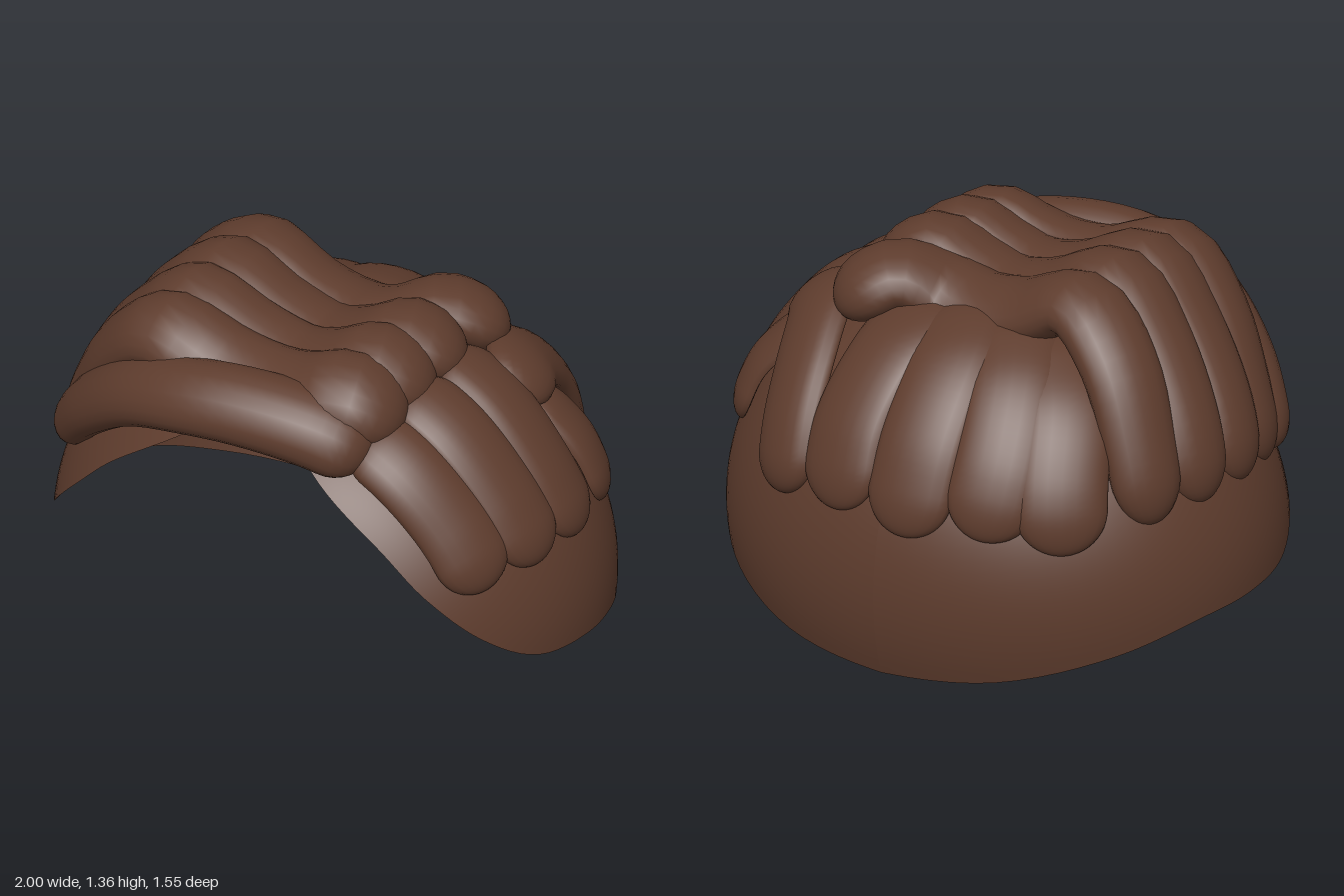
import * as THREE from 'three';

const V = (x, y, z) => new THREE.Vector3(x, y, z);
const CENTRE = V(0, 0.3, 0.08);   // middle of the skull ellipsoid
const RADII = V(1, 0.88, 0.85);

const hair = new THREE.MeshStandardMaterial({ color: 0x5e3c2d });
hair.name = 'brown hair';
hair.side = THREE.DoubleSide;

// indexed grid of rows x cols points, optionally closed across the columns
function gridGeometry(rows, cols, closed, pointAt) {
  const pos = [], idx = [];
  for (let i = 0; i < rows; i++) for (let j = 0; j < cols; j++) pos.push(...pointAt(i, j).toArray());
  for (let i = 0; i < rows - 1; i++) {
    for (let j = 0; j < (closed ? cols : cols - 1); j++) {
      const k = (j + 1) % cols;
      const a = i * cols + j, b = a + cols, c = i * cols + k, d = c + cols;
      idx.push(a, b, c, c, b, d);
    }
  }
  const g = new THREE.BufferGeometry();
  g.setAttribute('position', new THREE.Float32BufferAttribute(pos, 3));
  g.setIndex(idx);
  g.computeVertexNormals();
  return g;
}

// moves a point onto the skull, raised by a fraction of its radius
function onSkull([x, y, z], lift) {
  const d = V(x, y, z).sub(CENTRE).divide(RADII).normalize();
  return d.multiplyScalar(1 + lift).multiply(RADII).add(CENTRE);
}

// end shapes: size of the section at s (0..1) on a lock of this length and half width
const roundEnds = (s, length, w) => {
  const d = Math.min(1, Math.min(s, 1 - s) * length / w);
  return Math.max(0.01, Math.sqrt(1 - (1 - d) ** 2));
};
const taperedEnds = (s, length, w) => roundEnds(s, length, w) * (1 - 0.28 * s * s);
const pointedEnd = s => Math.max(0.01, s < 0.7 ? 0.8 + 0.3 * s : 1.01 * Math.pow((1 - s) / 0.3, 0.85));

// a lock of hair: flattened tube of half width w and half thickness t, lying on the skull;
// under is the share of the thickness kept on the side facing the skull
function lock(name, points, w, t, { profile = roundEnds, under = 1, normal = null } = {}) {
  const curve = new THREE.CatmullRomCurve3(points, false, 'centripetal');
  const length = curve.getLength(), rows = 41, cols = 20;
  const rings = Array.from({ length: rows }, (_, i) => {
    const s = (1 - Math.cos(Math.PI * i / (rows - 1))) / 2;
    const c = curve.getPointAt(s), T = curve.getTangentAt(s);
    const N = normal ? normal.clone() : c.clone().sub(CENTRE).divide(RADII).divide(RADII);
    N.addScaledVector(T, -N.dot(T)).normalize();
    return { c, N, B: T.clone().cross(N), r: profile(s, length, w) };
  });
  const g = gridGeometry(rows, cols, true, (i, j) => {
    const a = j / cols * Math.PI * 2, { c, N, B, r } = rings[i];
    const h = Math.sin(a) * t * r;
    return c.clone().addScaledVector(B, Math.cos(a) * w * r).addScaledVector(N, h < 0 ? h * under : h);
  });
  const mesh = new THREE.Mesh(g, hair);
  mesh.name = name;
  return mesh;
}

// skull cap: ellipsoid cut along a hairline given as azimuth from the front and height
function makeCap() {
  const hairline = new THREE.SplineCurve([
    [0, 1.04], [13, 1.01], [25, 0.9], [38, 0.75], [48, 0.58], [60, 0.41], [74, 0.29],
    [92, 0.255], [110, 0.225], [130, 0.135], [155, 0.035], [180, 0],
  ].map(p => new THREE.Vector2(...p)));
  const half = 64, rows = 40;
  const edge = Array.from({ length: half + 1 }, (_, k) => hairline.getPoint(k / half));
  const g = gridGeometry(rows, half * 2 + 1, false, (i, j) => {
    const e = edge[Math.abs(j - half)];
    const az = THREE.MathUtils.degToRad(e.x) * Math.sign(j - half);
    const th = Math.acos((e.y - CENTRE.y) / RADII.y) * Math.max(i, 0.01) / (rows - 1);
    return V(Math.sin(th) * Math.sin(az), Math.cos(th), Math.sin(th) * Math.cos(az)).multiply(RADII).add(CENTRE);
  });
  const mesh = new THREE.Mesh(g, hair);
  mesh.name = 'skullCap';
  return mesh;
}

export function createModel() {
  const model = new THREE.Group();
  model.name = 'hair';
  model.add(makeCap());

  // swept top: locks running from the parting on the left, over the dip, down the right side
  const swept = new THREE.Group();
  swept.name = 'sweptTop';
  [ // z at: parting end, parting crest, dip, right crest, right tip; height offset
    [-0.3, -0.17, -0.1, -0.12, -0.33, -0.01],
    [-0.03, 0.08, 0.1, 0.1, -0.1, 0.01],
    [0.17, 0.28, 0.3, 0.31, 0.11, 0],
    [0.35, 0.46, 0.48, 0.49, 0.31, -0.03],
  ].forEach(([zp, zr, zd, zc, zt, dy]) => swept.add(lock('sweptLock', [
    V(0.45, 1.1 + dy, zp), V(0.29, 1.215 + dy, zr), V(0.14, 1.16 + dy / 2, zd), V(0, 1.125, zd),
    V(-0.18, 1.16 + dy / 2, zd), V(-0.42, 1.255 + dy, zc), V(-0.62, 1.11 + dy, zc * 0.65 + zt * 0.35),
    onSkull([-0.79, 0.86, zc * 0.25 + zt * 0.75], 0.045), onSkull([-0.9, 0.62, zt], -0.015),
  ], 0.165, 0.105, { profile: taperedEnds })));
  swept.add(lock('frontFringe', [
    V(0.42, 1.01, 0.51), V(0.25, 1.09, 0.58), V(0, 1.125, 0.635), V(-0.22, 1.11, 0.655),
    V(-0.45, 1.04, 0.62), V(-0.67, 0.88, 0.53), V(-0.88, 0.64, 0.37),
  ], 0.145, 0.11, { profile: taperedEnds }));
  model.add(swept);

  // left side: broad locks falling from the parting
  const side = new THREE.Group();
  side.name = 'leftSide';
  [[0.5, 0.47], [0.25, 0.23], [0.02, 0.01]].forEach(([z0, z1]) => side.add(lock('sideLock', [
    onSkull([0.36, 1.1, z0], 0.05), onSkull([0.58, 1, z0 + 0.01], 0.05),
    onSkull([0.77, 0.82, z1 + 0.02], 0.015), onSkull([0.9, 0.6, z1], 0),
  ], 0.14, 0.065, { under: 0.2 })));
  side.add(lock('shortSideLock', [
    onSkull([0.62, 1, -0.2], 0.02), onSkull([0.79, 0.82, -0.25], 0.025), onSkull([0.87, 0.59, -0.28], 0),
  ], 0.13, 0.06, { under: 0.2 }));
  side.add(lock('archedLock', [
    onSkull([0.66, 1, -0.06], 0.06), onSkull([0.56, 1.05, -0.21], 0.075), onSkull([0.5, 0.95, -0.4], 0.05),
    onSkull([0.47, 0.78, -0.56], 0.025), onSkull([0.44, 0.54, -0.66], 0),
  ], 0.14, 0.07, { under: 0.5 }));
  model.add(side);

  // back: locks fanning from the crown
  const back = new THREE.Group();
  back.name = 'backLocks';
  [-0.64, -0.37, -0.09, 0.18].forEach((x, i) => back.add(lock('backLock', [
    onSkull([x * 0.6 + 0.06, 1.13, -0.12], 0), onSkull([x * 0.85, 1, -0.38], 0.035),
    onSkull([x, 0.8, -0.55], 0.025), onSkull([x, 0.53 + (i % 2) * 0.03, -0.72 + 0.35 * x * x], 0),
  ], 0.16, 0.06, { under: 0.2 })));
  model.add(back);

  // pointed locks sloping back inside the front opening
  const inner = new THREE.Group();
  inner.name = 'innerFringe';
  [[-0.58, 0.13], [-0.36, 0.115], [-0.1, 0.14], [0.175, 0.135], [0.44, 0.14]].forEach(([x, w]) => {
    inner.add(lock('pointedLock', [
      V(x * 0.95, 1.06 - 0.5 * x * x, 0.42 - 0.3 * x * x), V(x, 0.84, 0.12), V(x, 0.62, -0.06), V(x, 0.42, -0.12),
    ], w, 0.05, { profile: pointedEnd, normal: V(0, 0, 1) }));
  });
  model.add(inner);
  return model;
}
